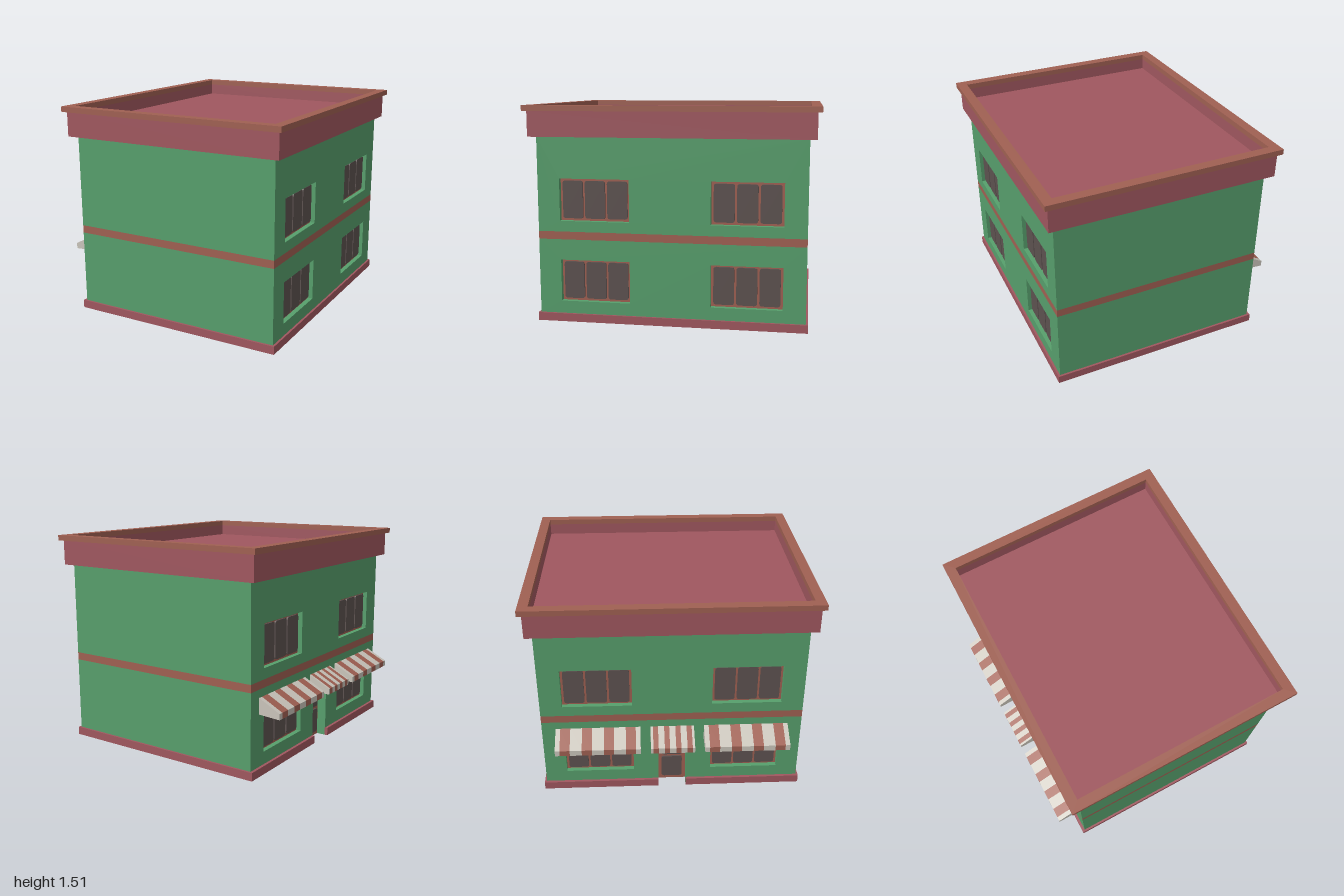
import * as THREE from 'three';

const mat = (name, color, side = THREE.FrontSide) => {
  const m = new THREE.MeshStandardMaterial({ color, side });
  m.name = name;
  return m;
};
const green = mat('green wall', 0x579f6c, THREE.DoubleSide);
const red = mat('dull red', 0xa0575f);
const terracotta = mat('terracotta', 0xa06052, THREE.DoubleSide);
const glass = mat('dark glass', 0x5d5250);
const cream = mat('cream cloth', 0xcac5bb, THREE.DoubleSide);

// Building extents
const X0 = -0.73, X1 = 0.81, Z = 0.925, CX = (X0 + X1) / 2;
const WALL_TOP = 1.3, BAND = [0.585, 0.64];
const RECESS = 0.035, DOOR = { w: 0.2, top: 0.43, depth: 0.068 };
const WIN = { w: 0.49, h: 0.295, xs: [-0.525, 0.525], ys: [0.2925, 0.8625] };

function add(parent, name, geometry, material, x = 0, y = 0, z = 0) {
  const mesh = new THREE.Mesh(geometry, material);
  mesh.name = name;
  mesh.position.set(x, y, z);
  parent.add(mesh);
  return mesh;
}

function rect(x0, x1, y0, y1, Type = THREE.Shape) {
  const p = [[x0, y0], [x1, y0], [x1, y1], [x0, y1]];
  return new Type(p.map(([x, y]) => new THREE.Vector2(x, y)));
}

function roundedRect(w, h, r) {
  const s = new THREE.Shape(), x = w / 2, y = h / 2;
  s.moveTo(-x + r, -y).lineTo(x - r, -y).quadraticCurveTo(x, -y, x, -y + r);
  s.lineTo(x, y - r).quadraticCurveTo(x, y, x - r, y);
  s.lineTo(-x + r, y).quadraticCurveTo(-x, y, -x, y - r);
  s.lineTo(-x, -y + r).quadraticCurveTo(-x, -y, -x + r, -y);
  return s;
}

// Extrude a floor plan upwards
const rise = (shape, h) =>
  new THREE.ExtrudeGeometry(shape, { depth: h, bevelEnabled: false }).rotateX(-Math.PI / 2);

// Green lining of an opening, running back from the wall plane
function reveal(parent, x, y, w, h, d, sill = true) {
  for (const s of [-1, 1]) {
    add(parent, 'revealSide', new THREE.PlaneGeometry(d, h).rotateY(-s * Math.PI / 2), green, x + s * w / 2, y, -d / 2);
    if (s > 0 || sill)
      add(parent, 'revealEdge', new THREE.PlaneGeometry(w, d).rotateX(s * Math.PI / 2), green, x, y + s * h / 2, -d / 2);
  }
}

// Rounded pane, standing proud on both sides of its frame
function pane(parent, x, y, z, w, h) {
  const g = new THREE.ExtrudeGeometry(roundedRect(w, h, 0.018), { depth: 0.024, bevelEnabled: false, curveSegments: 3 });
  add(parent, 'pane', g, glass, x, y, z - 0.012);
}

function windowUnit(parent, x, y) {
  const g = new THREE.Group();
  g.name = 'window';
  g.position.set(x, y, 0);
  reveal(g, 0, 0, WIN.w, WIN.h, RECESS);
  add(g, 'windowFrame', new THREE.PlaneGeometry(WIN.w, WIN.h), terracotta, 0, 0, -RECESS);
  for (const i of [-1, 0, 1]) pane(g, i * 0.157, 0, -RECESS, 0.142, 0.262);
  parent.add(g);
}

function door(parent) {
  const g = new THREE.Group();
  g.name = 'door';
  reveal(g, 0, DOOR.top / 2, DOOR.w, DOOR.top, DOOR.depth, false);
  add(g, 'doorLeaf', new THREE.PlaneGeometry(DOOR.w, DOOR.top), terracotta, 0, DOOR.top / 2, -DOOR.depth);
  pane(g, 0, 0.315, -DOOR.depth, 0.15, 0.17);
  pane(g, 0, 0.12, -DOOR.depth, 0.15, 0.18);
  parent.add(g);
}

// Striped awning: sloping top and hanging valance, with cream cheeks
function awning(parent, x, width) {
  const g = new THREE.Group();
  g.name = 'awning';
  g.position.x = x;
  const profile = [[0, 0.53], [0.155, 0.45], [0.155, 0.408]];
  const edge = 0.055 * width, redW = 0.118 * width;
  const creamW = (width - 2 * edge - 4 * redW) / 3;
  let u = -width / 2;
  for (let i = 0; i < 9; i++) {
    const isRed = i % 2 === 1;
    const w = isRed ? redW : i === 0 || i === 8 ? edge : creamW;
    for (let k = 0; k < 2; k++) {
      const [[za, ya], [zb, yb]] = [profile[k], profile[k + 1]];
      const geo = new THREE.BufferGeometry();
      geo.setAttribute('position', new THREE.Float32BufferAttribute(
        [u, ya, za, u, yb, zb, u + w, yb, zb, u, ya, za, u + w, yb, zb, u + w, ya, za], 3));
      geo.computeVertexNormals();
      add(g, k ? 'valanceStripe' : 'awningStripe', geo, isRed ? terracotta : cream);
    }
    u += w;
  }
  const cheek = new THREE.Shape([...profile, [0, 0.418]].map(([a, b]) => new THREE.Vector2(a, b)));
  for (const s of [-1, 1])
    add(g, 'awningCheek', new THREE.ShapeGeometry(cheek).rotateY(-Math.PI / 2), cream, s * width / 2);
  parent.add(g);
}

// One wall in its own plane, facing local +z: lower part, band, upper part
function wall(name, width, { windows = false, entrance = false } = {}) {
  const g = new THREE.Group();
  g.name = name;
  const h = width / 2;
  const lower = entrance
    ? new THREE.Shape([[-h, 0.05], [-DOOR.w / 2, 0.05], [-DOOR.w / 2, DOOR.top], [DOOR.w / 2, DOOR.top],
      [DOOR.w / 2, 0.05], [h, 0.05], [h, BAND[0]], [-h, BAND[0]]].map(([a, b]) => new THREE.Vector2(a, b)))
    : rect(-h, h, 0.05, BAND[0]);
  const upper = rect(-h, h, BAND[1], WALL_TOP);
  if (windows) {
    WIN.ys.forEach((y, i) => {
      for (const x of WIN.xs) {
        (i ? upper : lower).holes.push(
          rect(x - WIN.w / 2, x + WIN.w / 2, y - WIN.h / 2, y + WIN.h / 2, THREE.Path));
        windowUnit(g, x, y);
      }
    });
  }
  add(g, 'lowerWall', new THREE.ShapeGeometry(lower), green);
  add(g, 'wallBand', new THREE.ShapeGeometry(rect(-h, h, ...BAND)), terracotta);
  add(g, 'upperWall', new THREE.ShapeGeometry(upper), green);
  if (entrance) {
    door(g);
    awning(g, -0.527, 0.6);
    awning(g, 0, 0.31);
    awning(g, 0.527, 0.6);
  }
  return g;
}

// Rectangular ring around the roof opening
function roofRing(x0, x1, z) {
  const s = rect(x0, x1, -z, z);
  s.holes.push(rect(-0.735, 0.81, -0.93, 0.93, THREE.Path));
  return s;
}

export function createModel() {
  const model = new THREE.Group();
  model.name = 'building';

  // Walls
  const place = (w, x, z, turn) => {
    w.position.set(x, 0, z);
    w.rotation.y = turn;
    model.add(w);
  };
  place(wall('frontWall', X1 - X0), CX, Z, 0);
  place(wall('backWall', X1 - X0), CX, -Z, Math.PI);
  place(wall('leftWall', 2 * Z, { windows: true }), X1, 0, Math.PI / 2);
  place(wall('rightWall', 2 * Z, { windows: true, entrance: true }), X0, 0, -Math.PI / 2);

  // Plinth, broken at the doorway
  const d = DOOR.w / 2, xi = X0 + 0.005, xo = X1 - 0.005, zi = Z - 0.005;
  const plan = [[-0.75, -d], [-0.75, -0.94], [0.825, -0.94], [0.825, 0.94], [-0.75, 0.94], [-0.75, d],
    [xi, d], [xi, zi], [xo, zi], [xo, -zi], [xi, -zi], [xi, -d]];
  add(model, 'plinth', rise(new THREE.Shape(plan.map(([a, b]) => new THREE.Vector2(a, b))), 0.057), red);

  // Parapet, coping and sunken roof
  add(model, 'parapet', rise(roofRing(-0.78, 0.855, 0.972), 0.175), red, 0, 1.297, 0);
  add(model, 'coping', rise(roofRing(-0.806, 0.88, 1), 0.038), terracotta, 0, 1.472, 0);
  add(model, 'roof', new THREE.BoxGeometry(1.545, 0.09, 1.86), red, 0.0375, 1.345, 0);
  return model;
}
